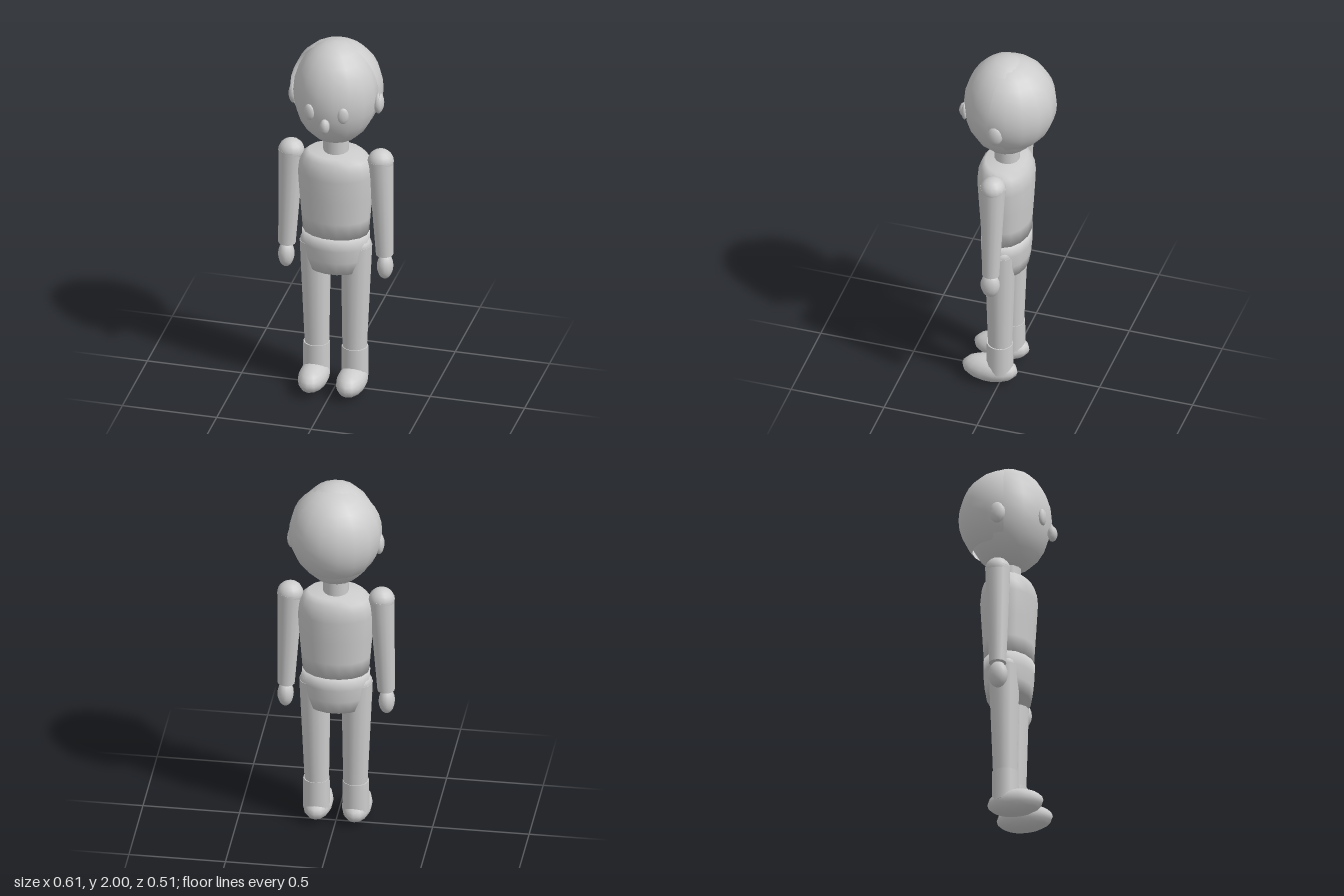
import * as THREE from 'three';

const skin = new THREE.MeshStandardMaterial({ color: 0xcccccc, side: THREE.DoubleSide });
skin.name = 'plainGrey';

export function createModel() {
  const model = new THREE.Group();
  model.name = 'figure';

  const add = (name, geometry, x, y, z, parent = model) => {
    const mesh = new THREE.Mesh(geometry, skin);
    mesh.name = name;
    mesh.position.set(x, y, z);
    parent.add(mesh);
    return mesh;
  };
  const ellipsoid = (rx, ry, rz, w = 16, h = 12) =>
    new THREE.SphereGeometry(1, w, h).rotateY(Math.PI / w).scale(rx, ry, rz);
  // Turned body part, flattened front to back
  const turned = (points, depth, sides = 16) =>
    new THREE.LatheGeometry(points.map(([r, y]) => new THREE.Vector2(r, y)), sides)
      .rotateY(Math.PI / sides).scale(1, 1, depth);
  // Tapered limb running between two points
  const limb = (name, top, bottom, rTop, rBottom, parent) => {
    const a = new THREE.Vector3(...top), b = new THREE.Vector3(...bottom);
    const mid = a.clone().add(b).multiplyScalar(0.5);
    const mesh = add(name, new THREE.CylinderGeometry(rTop, rBottom, a.distanceTo(b), 14),
      mid.x, mid.y, mid.z, parent);
    mesh.quaternion.setFromUnitVectors(new THREE.Vector3(0, 1, 0), a.sub(b).normalize());
  };

  // Head, with a hair shell around the back and sides
  add('head', ellipsoid(0.22, 0.285, 0.22), 0, 1.715, 0);
  add('hair', new THREE.SphereGeometry(1, 9, 12, Math.PI * 15 / 16, Math.PI * 9 / 8, 0, Math.PI * 0.75)
    .scale(0.24, 0.26, 0.24), 0, 1.73, -0.02);
  add('nose', ellipsoid(0.027, 0.042, 0.026, 8, 8), 0, 1.622, 0.229);

  // Trunk
  add('neck', new THREE.CylinderGeometry(0.066, 0.066, 0.12, 14), 0, 1.41, -0.003);
  add('torso', turned([[0, 0.91], [0.173, 0.91], [0.18, 1.0], [0.19, 1.12], [0.2, 1.25],
    [0.193, 1.3], [0.175, 1.34], [0.145, 1.368], [0, 1.378]], 0.73), 0, 0, 0);
  add('pelvis', turned([[0, 0.7], [0.152, 0.7], [0.168, 0.77], [0.176, 0.84], [0.177, 0.91],
    [0, 0.915]], 0.735), 0, 0, 0);

  for (const s of [1, -1]) {
    const side = s > 0 ? 'left' : 'right';

    // Face features in pairs
    add(side + 'Eye', ellipsoid(0.03, 0.045, 0.016, 10, 8), s * 0.09, 1.68, 0.198)
      .rotation.y = s * 0.3;
    add(side + 'Ear', ellipsoid(0.027, 0.058, 0.042, 10, 8), s * 0.225, 1.67, -0.008);

    // Arm
    const arm = new THREE.Group();
    arm.name = side + 'Arm';
    model.add(arm);
    add('shoulder', ellipsoid(0.068, 0.064, 0.066, 14, 10), s * 0.237, 1.338, -0.002, arm);
    limb('sleeve', [s * 0.237, 1.345, -0.002], [s * 0.259, 0.8, 0.003], 0.066, 0.045, arm);
    add('hand', ellipsoid(0.042, 0.072, 0.051, 12, 10), s * 0.262, 0.735, 0.005, arm);

    // Leg
    const leg = new THREE.Group();
    leg.name = side + 'Leg';
    model.add(leg);
    add('hip', ellipsoid(0.079, 0.06, 0.079, 14, 10), s * 0.109, 0.84, 0, leg);
    limb('trouserLeg', [s * 0.109, 0.84, 0], [s * 0.1, 0.24, 0.003], 0.081, 0.063, leg);
    add('bootShaft', new THREE.CylinderGeometry(0.068, 0.07, 0.17, 14), s * 0.102, 0.165, 0.004, leg);
    add('foot', ellipsoid(0.077, 0.072, 0.148, 14, 10), s * 0.101, 0.075, 0.058, leg);
  }
  return model;
}
